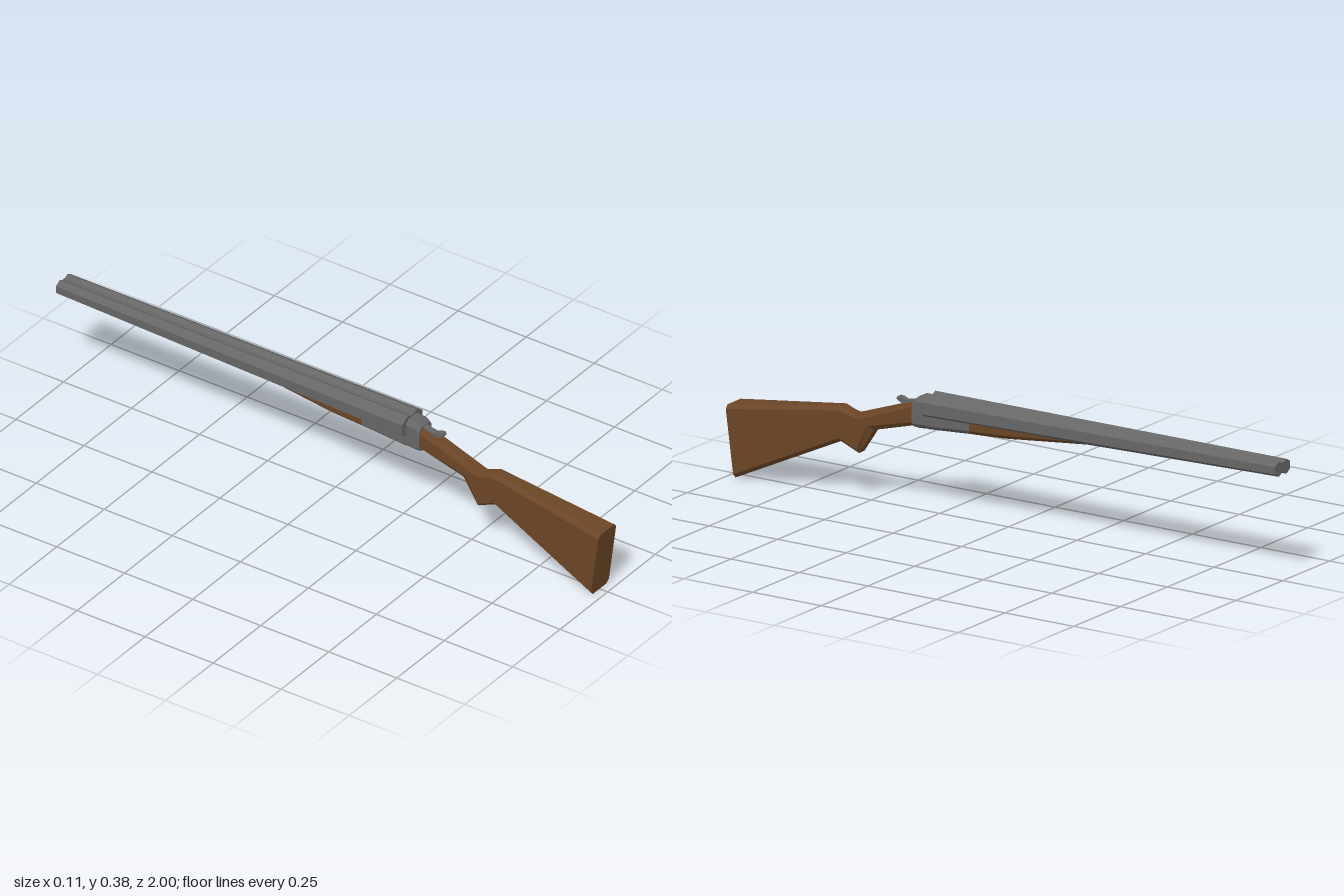
import * as THREE from 'three';

const metal = new THREE.MeshStandardMaterial({ color: 0x666666, flatShading: true });
const wood = new THREE.MeshStandardMaterial({ color: 0x6b4526, flatShading: true });

// Skin over rings of [x, y, z], ordered from +z to -z, each counter-clockwise seen from +z
function loft(name, rings, material) {
  const n = rings[0].length;
  const index = [];
  for (let r = 0; r < rings.length - 1; r++) {
    for (let i = 0; i < n; i++) {
      const j = (i + 1) % n;
      const a = r * n + i, d = r * n + j, b = a + n, c = d + n;
      index.push(a, b, c, a, c, d);
    }
  }
  const last = (rings.length - 1) * n;
  for (let i = 1; i < n - 1; i++) {
    index.push(0, i, i + 1, last, last + i + 1, last + i);
  }
  const indexed = new THREE.BufferGeometry();
  indexed.setAttribute('position', new THREE.Float32BufferAttribute(rings.flat(2), 3));
  indexed.setIndex(index);
  const geometry = indexed.toNonIndexed();
  geometry.computeVertexNormals();
  const mesh = new THREE.Mesh(geometry, material);
  mesh.name = name;
  return mesh;
}

// Rectangle with cut corners; its top and bottom may sit at different z
function section([halfWidth, topZ, topY, bottomZ, bottomY, cut]) {
  const w = halfWidth;
  const half = [[w - cut, bottomY], [w, bottomY + cut], [w, topY - cut], [w - cut, topY]];
  const outline = [...half, ...half.map(([x, y]) => [-x, y]).reverse()];
  return outline.map(([x, y]) => {
    const t = (y - bottomY) / (topY - bottomY);
    return [x, y, bottomZ + (topZ - bottomZ) * t];
  });
}

// Hexagon with a corner at the top
function hexagon(x, y, z, radius) {
  return Array.from({ length: 6 }, (_, i) => {
    const a = Math.PI / 2 + (i * Math.PI) / 3;
    return [x + radius * Math.cos(a), y + radius * Math.sin(a), z];
  });
}

export function createModel() {
  const model = new THREE.Group();
  model.name = 'doubleBarrelGun';

  // Butt, grip and wrist in one piece
  model.add(loft('stock', [
    [0.047, 1.0, 0.228, 0.97, 0.003, 0.012],
    [0.027, 0.6, 0.286, 0.6, 0.175, 0.012],
    [0.025, 0.57, 0.275, 0.535, 0.148, 0.011],
    [0.025, 0.55, 0.268, 0.48, 0.23, 0.011],
    [0.027, 0.325, 0.346, 0.325, 0.272, 0.012],
  ].map(section), wood));

  // Receiver, stepped down to run under the barrels
  model.add(loft('receiver', [
    [0.033, 0.33, 0.352, 0.33, 0.268, 0.013],
    [0.035, 0.312, 0.366, 0.312, 0.267, 0.014],
    [0.035, 0.28, 0.366, 0.28, 0.269, 0.014],
    [0.035, 0.275, 0.34, 0.275, 0.269, 0.012],
    [0.035, 0.12, 0.338, 0.12, 0.28, 0.012],
  ].map(section), metal));

  // Tapered wooden grip below the barrels
  model.add(loft('forend', [
    [0.035, 0.12, 0.338, 0.12, 0.28, 0.012],
    [0.034, 0.0, 0.34, 0.0, 0.286, 0.012],
    [0.02, -0.3, 0.342, -0.3, 0.315, 0.008],
  ].map(section), wood));

  // Pair of six-sided barrels, narrowing to the muzzle
  for (const side of [1, -1]) {
    model.add(loft(side > 0 ? 'leftBarrel' : 'rightBarrel', [
      hexagon(side * 0.022, 0.341, 0.282, 0.037),
      hexagon(side * 0.02, 0.358, -1, 0.0235),
    ], metal));
  }

  // Sighting rib between the barrels
  model.add(loft('rib', [
    [0.006, 0.282, 0.37, 0.282, 0.34, 0.001],
    [0.006, -1, 0.375, -1, 0.35, 0.001],
  ].map(section), metal));

  // Opening lever with a raised thumb piece
  const profile = new THREE.Shape([
    [0.31, 0.33], [0.37, 0.327], [0.385, 0.331], [0.402, 0.34],
    [0.398, 0.349], [0.385, 0.348], [0.37, 0.341], [0.31, 0.352],
  ].map(([z, y]) => new THREE.Vector2(z, y)));
  const leverGeometry = new THREE.ExtrudeGeometry(profile, { depth: 0.02, bevelEnabled: false });
  leverGeometry.translate(0, 0, -0.01).rotateY(-Math.PI / 2);
  const lever = new THREE.Mesh(leverGeometry, metal);
  lever.name = 'openingLever';
  model.add(lever);

  return model;
}
